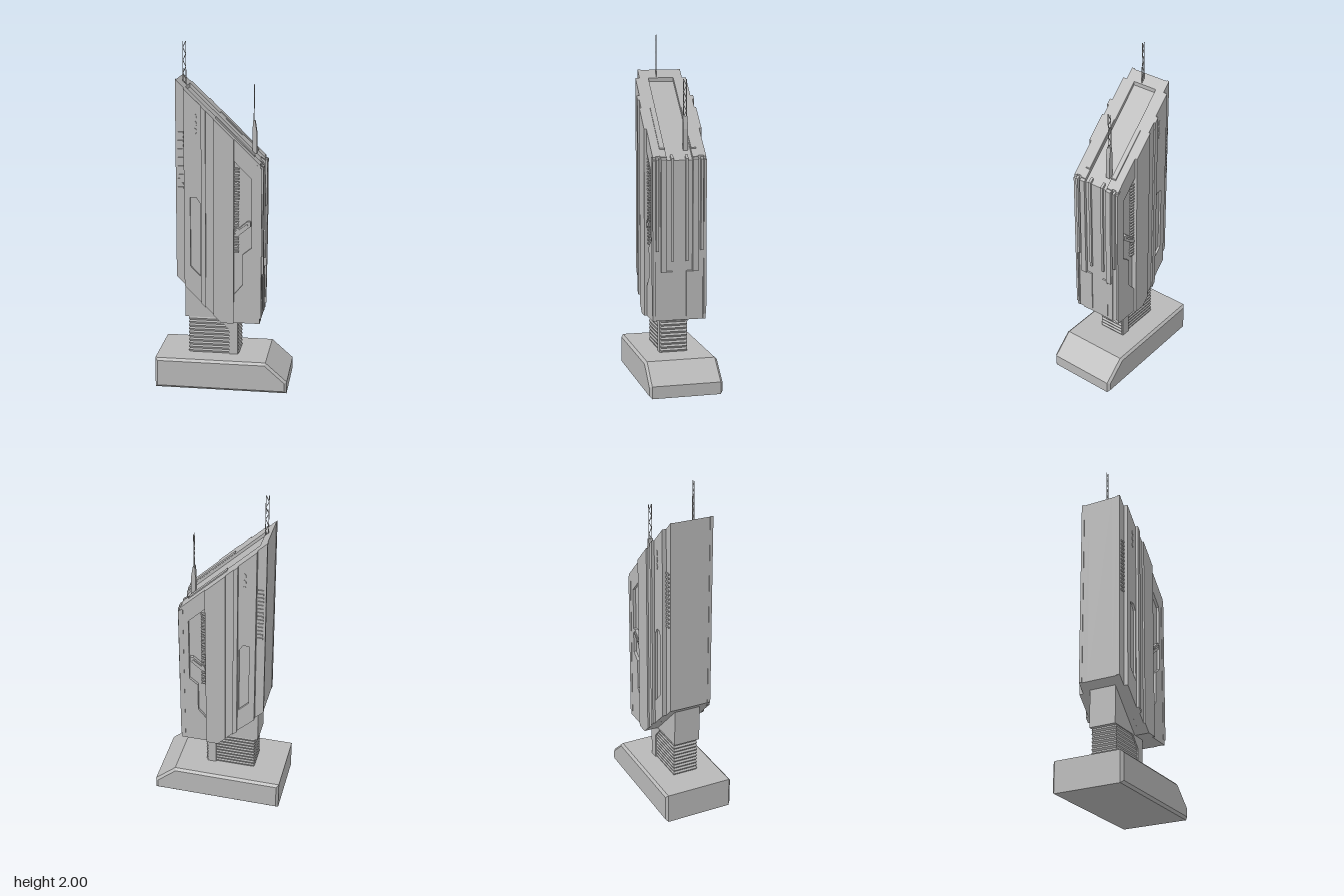
import * as THREE from 'three';

export function createModel() {
  const model = new THREE.Group();
  const grey = new THREE.MeshStandardMaterial({ color: 0xb8b8b8 });
  grey.name = 'hull grey';

  const add = (name, geo) => {
    const mesh = new THREE.Mesh(geo, grey);
    mesh.name = name;
    model.add(mesh);
    return mesh;
  };
  const box = (name, x0, x1, y0, y1, z0, z1) => {
    const g = new THREE.BoxGeometry(x1 - x0, y1 - y0, z1 - z0);
    return add(name, g.translate((x0 + x1) / 2, (y0 + y1) / 2, (z0 + z1) / 2));
  };
  const shapeOf = pts => new THREE.Shape(pts.map(p => new THREE.Vector2(p[0], p[1])));
  // Side outline pushed out between two depths
  const slab = (name, pts, z0, z1, hole) => {
    const s = shapeOf(pts);
    if (hole) s.holes.push(shapeOf(hole));
    const g = new THREE.ExtrudeGeometry(s, { depth: z1 - z0, bevelEnabled: false });
    return add(name, g.translate(0, 0, z0));
  };
  const slabPair = (name, pts, z0, z1, hole) => {
    slab(name, pts, z0, z1, hole);
    slab(name, pts, -z1, -z0, hole);
  };
  const boxPair = (name, x0, x1, y0, y1, z0, z1) => {
    box(name, x0, x1, y0, y1, z0, z1);
    box(name, x0, x1, y0, y1, -z1, -z0);
  };

  // Slanted roof and slanted underside of the tower
  const top = x => 1.8 - 0.97 * (x + 0.265);
  const bottom = x => Math.max(0.4, 0.66 - 0.98 * (x + 0.265));
  const strip = (x0, x1, drop = 0) => {
    const pts = [[x0, bottom(x0)]];
    if (x0 < 0 && x1 > 0) pts.push([0, 0.4]);
    pts.push([x1, bottom(x1)], [x1, top(x1) - drop], [x0, top(x0) - drop]);
    return pts;
  };

  // Base with bevelled front and back
  const b = 0.014;
  const baseGeo = new THREE.ExtrudeGeometry(
    shapeOf([[-0.385, 0], [0.385, 0], [0.385, 0.07], [0.26, 0.18], [-0.385, 0.18]]),
    { depth: 0.396, bevelEnabled: true, bevelSize: b, bevelThickness: b, bevelOffset: -b, bevelSegments: 1 });
  add('base', baseGeo.translate(0, 0, -0.198));

  // Ribbed neck: stacked four-sided frustums
  const ribs = 10, ribH = 0.22 / ribs;
  for (let i = 0; i < ribs * 2; i++) {
    const wide = Math.SQRT2, slim = wide * 0.95;
    const g = new THREE.CylinderGeometry(i % 2 ? slim : wide, i % 2 ? wide : slim, ribH / 2, 4, 1, true);
    g.rotateY(Math.PI / 4);
    g.scale(0.15, 1, 0.077);
    add('neckRib', g.toNonIndexed().translate(-0.057, 0.18 + (i + 0.5) * ribH / 2, 0)).geometry.computeVertexNormals();
  }
  slab('neckPost', [[0.032, 0.18], [0.084, 0.18], [0.084, 0.4], [-0.03, 0.4], [0.032, 0.33]], -0.083, 0.083);
  box('lowerCore', -0.225, 0.0, 0.4, 0.75, -0.08, 0.08);

  // Central hull with a sunken roof channel
  slab('hullCore', strip(-0.262, 0.218, 0.022), -0.075, 0.075);
  slab('roofEnd', strip(-0.262, -0.215), -0.075, 0.075);
  slabPair('hullWall', strip(-0.262, 0.22), 0.075, 0.11);
  const lift = strip(-0.04, 0.18, -0.008);
  lift[0][1] = lift[1][1] = lift[2][1] = 1.2;
  slabPair('roofRail', lift, 0.077, 0.106);

  // Layered side plates
  slabPair('rearPlate', strip(-0.265, -0.215), 0.11, 0.128);
  slabPair('pocketFloor', strip(-0.215, -0.115), 0.11, 0.139);
  slabPair('pocketPlate', strip(-0.215, -0.115), 0.139, 0.152,
    [[-0.18, 0.73], [-0.122, 0.67], [-0.122, 1.1], [-0.145, 1.135], [-0.18, 1.135]]);
  slabPair('narrowPlate', strip(-0.115, -0.09), 0.11, 0.168);
  slabPair('groovePlate', strip(-0.09, -0.045), 0.11, 0.158);
  slabPair('middlePlate', strip(-0.045, 0.07), 0.11, 0.168);
  slabPair('windowFloor', strip(0.07, 0.215), 0.11, 0.138);
  slabPair('windowFrame', [[0.07, 0.4], [0.22, 0.4], [0.22, top(0.22)], [0.07, top(0.07)], [0.07, 1.35],
    [0.17, 1.25], [0.17, 0.85], [0.12, 0.81], [0.12, 0.63], [0.07, 0.57]], 0.138, 0.154);

  // Upright plates on the tall narrow end: z0, z1, y0, y1, x
  for (const [z0, z1, y0, y1, x] of [
    [0.035, 0.05, 0.74, 1.32, 0.228],
    [0.075, 0.108, 0.68, 1.32, 0.234],
    [0.04, 0.075, 0.42, 0.68, 0.223],
    [0.122, 0.136, 0.8, 1.315, 0.234],
    [0.142, 0.156, 0.43, 1.31, 0.227]]) {
    slabPair('endPlate', [[0.2, y0], [x, y0], [x, Math.min(y1, top(x))], [0.2, Math.min(y1, top(x)) + 0.02]], z0, z1);
  }

  // Vent slats, window slats and small oval ports
  for (let i = 0; i < 14; i++) {
    const y = 1.18 + i * 0.0243;
    boxPair('rearVent', -0.252, -0.22, y, y + 0.01, 0.126, 0.134);
  }
  for (let i = 0; i < 26; i++) {
    const y = 0.82 + i * 0.0193;
    boxPair('windowSlat', 0.07, 0.098, y, y + 0.009, 0.136, 0.15);
  }
  for (const y of [1.52, 1.56, 1.6]) for (const s of [1, -1]) {
    const g = new THREE.CylinderGeometry(0.009, 0.009, 0.004, 12).rotateX(Math.PI / 2).scale(1, 1.9, 1);
    add('ovalPort', g.translate(-0.15, y - 0.005, s * 0.153));
  }
  // Slanted crane arm in each window
  slabPair('windowArm', [[0.072, 0.915], [0.095, 0.92], [0.165, 0.978], [0.165, 1.005], [0.145, 1.005], [0.08, 0.95]], 0.136, 0.156);
  slabPair('windowArmRidge', [[0.1, 0.945], [0.15, 0.983], [0.145, 0.992], [0.095, 0.954]], 0.156, 0.162);

  // Thin flat lattice mast, drawn in its own local plane
  const mast = (name, w, h) => {
    const group = new THREE.Group();
    group.name = name;
    const bar = (x0, y0, x1, y1) => {
      const len = Math.hypot(x1 - x0, y1 - y0);
      const m = new THREE.Mesh(new THREE.BoxGeometry(0.0035, len, 0.003), grey);
      m.name = 'mastBar';
      m.position.set((x0 + x1) / 2, (y0 + y1) / 2, 0);
      m.rotation.z = -Math.atan2(x1 - x0, y1 - y0);
      group.add(m);
    };
    bar(-w / 2, 0, -w / 2, h);
    bar(w / 2, 0, w / 2, h);
    const n = Math.round(h / 0.035);
    for (let i = 0; i < n; i++) {
      const s = i % 2 ? 1 : -1;
      bar(s * w / 2, i * h / n, -s * w / 2, (i + 1) * h / n);
    }
    model.add(group);
    return group;
  };
  mast('rearMast', 0.017, 0.25).position.set(-0.229, 1.75, 0.025);
  const front = mast('frontMast', 0.018, 0.21);
  front.position.set(0.158, 1.545, -0.047);
  front.rotation.y = Math.PI / 2;
  slab('frontMastFoot', [[0.15, 1.36], [0.176, 1.36], [0.176, 1.48], [0.165, 1.55], [0.153, 1.55], [0.15, 1.48]], -0.06, -0.034);

  return model;
}
